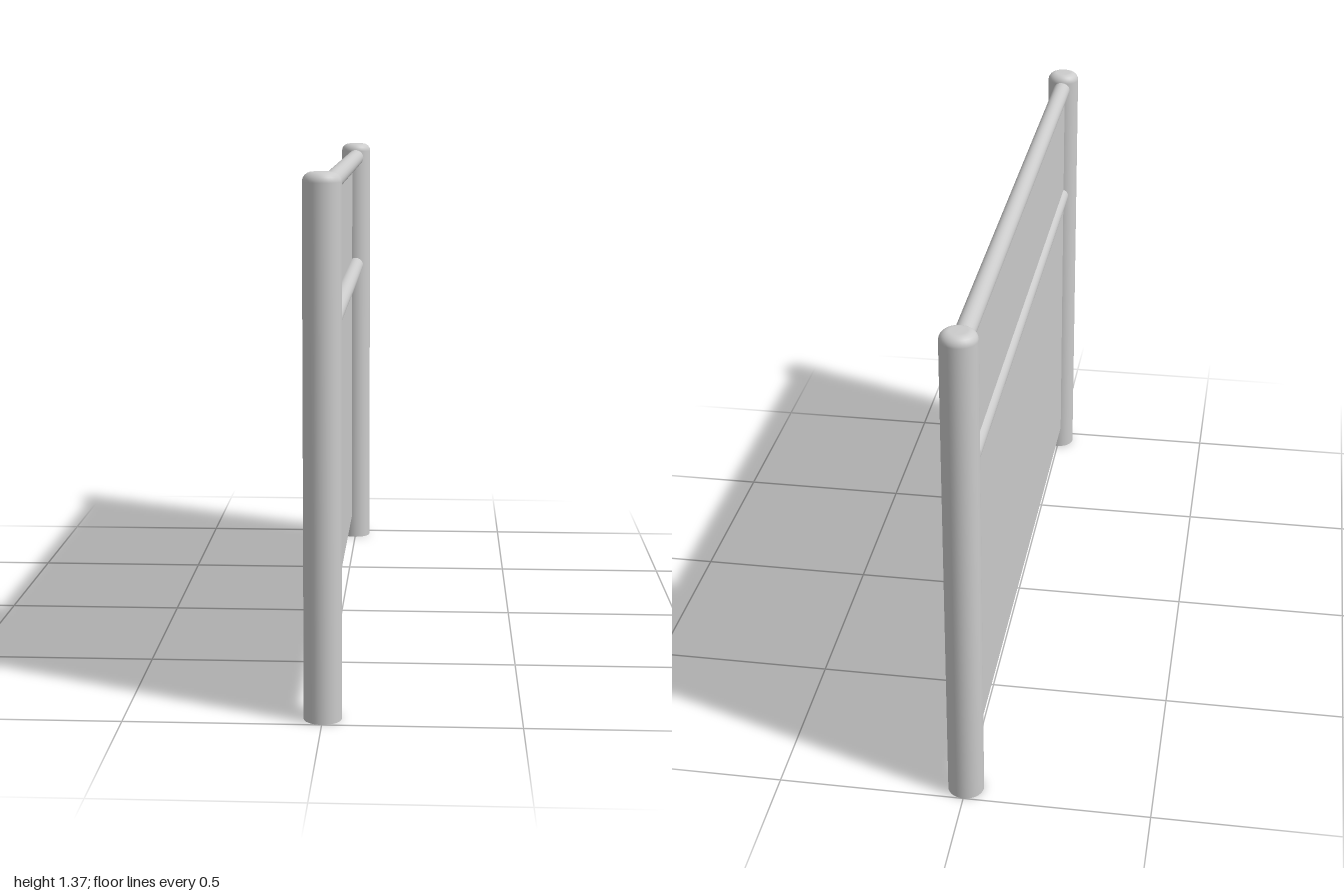
import * as THREE from 'three';

export function createModel() {
  const model = new THREE.Group();
  const material = new THREE.MeshStandardMaterial({ color: 0xcccccc, side: THREE.DoubleSide });

  const add = (name, geometry, x, y, z) => {
    const mesh = new THREE.Mesh(geometry, material);
    mesh.name = name;
    mesh.position.set(x, y, z);
    model.add(mesh);
    return mesh;
  };

  // Posts: open tubes with a rounded top
  const radius = 0.048, height = 1.365, round = 0.025;
  const profile = [new THREE.Vector2(radius, 0)];
  for (let i = 0; i <= 6; i++) {
    const a = (i / 6) * Math.PI / 2;
    profile.push(new THREE.Vector2(
      radius - round + round * Math.cos(a),
      height - round + round * Math.sin(a)));
  }
  profile.push(new THREE.Vector2(0, height));
  const postGeometry = new THREE.LatheGeometry(profile, 32);
  add('frontPost', postGeometry, 0, 0, 0.952);
  add('backPost', postGeometry, 0, 0, -0.952);

  // Horizontal rails, their ends sunk into the posts
  const railGeometry = new THREE.CylinderGeometry(0.026, 0.026, 1.85, 24);
  railGeometry.rotateX(Math.PI / 2);
  add('topRail', railGeometry, 0, 1.318, 0);
  add('middleRail', railGeometry, 0, 0.953, 0);

  // Thin infill panel, set slightly behind the rail axis
  const bottom = 0.075, top = 1.318;
  const panelGeometry = new THREE.PlaneGeometry(1.84, top - bottom);
  panelGeometry.rotateY(Math.PI / 2);
  add('panel', panelGeometry, -0.011, (top + bottom) / 2, 0);

  return model;
}
